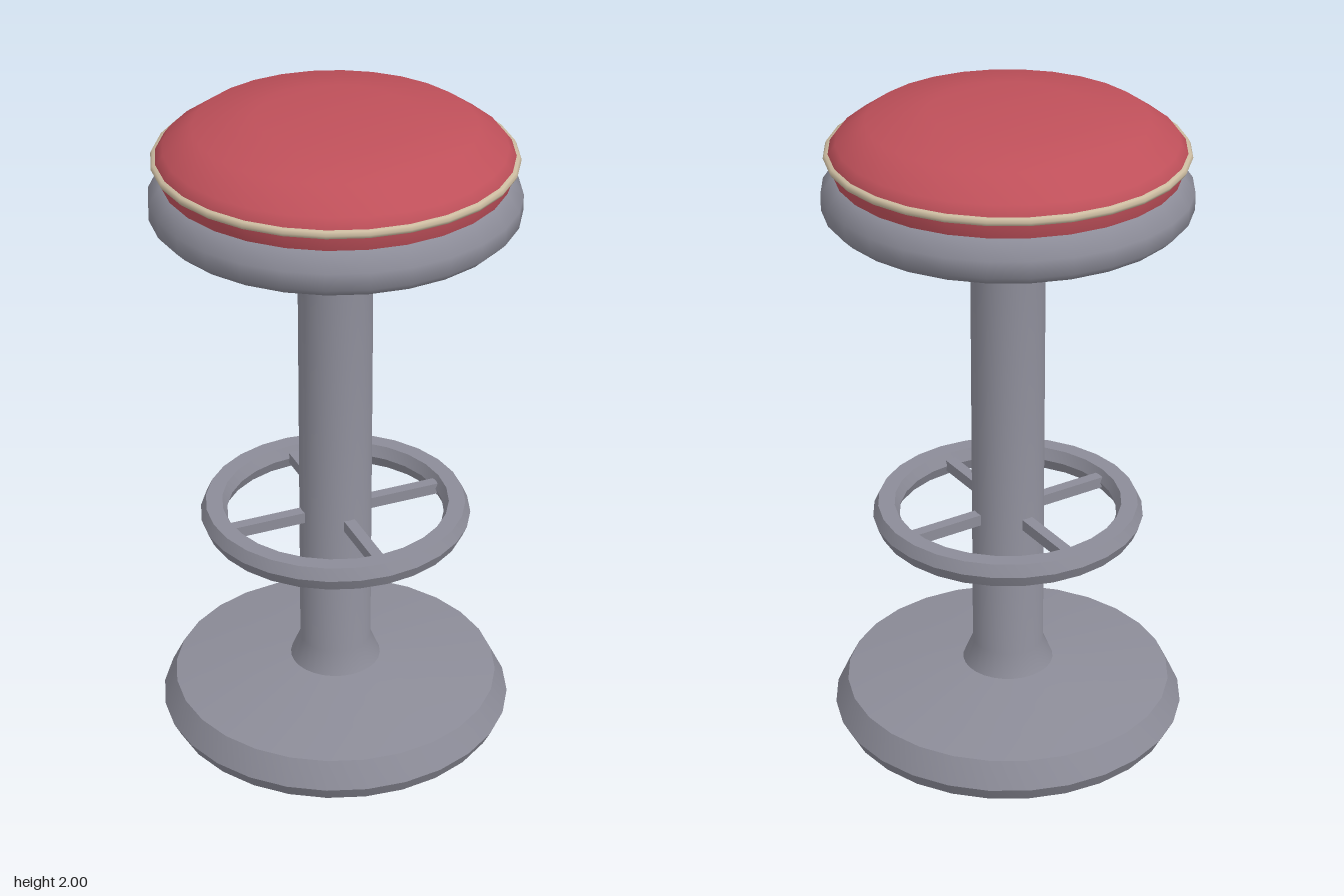
import * as THREE from 'three';
import { toCreasedNormals } from 'three/addons/utils/BufferGeometryUtils.js';

const SEGMENTS = 28;

const steel = new THREE.MeshStandardMaterial({ color: 0x8c8c98 });
steel.name = 'steel grey';
const red = new THREE.MeshStandardMaterial({ color: 0xbf505a });
red.name = 'cushion red';
const cream = new THREE.MeshStandardMaterial({ color: 0xcbbba0 });
cream.name = 'piping cream';

// Turned part from [radius, height] pairs, listed from the bottom up the outside.
function turned(name, material, profile, creaseDegrees) {
  const points = profile.map(([r, y]) => new THREE.Vector2(r, y));
  const lathe = new THREE.LatheGeometry(points, SEGMENTS);
  const mesh = new THREE.Mesh(toCreasedNormals(lathe, THREE.MathUtils.degToRad(creaseDegrees)), material);
  mesh.name = name;
  return mesh;
}

export function createModel() {
  const stool = new THREE.Group();
  stool.name = 'barStool';

  // Heavy foot with bevelled rim and shallow cone on top
  stool.add(turned('base', steel, [
    [0, 0], [0.52, 0], [0.543, 0.045], [0.503, 0.125], [0.14, 0.178], [0, 0.178],
  ], 35));

  // Column flaring into the foot
  stool.add(turned('column', steel, [
    [0.14, 0.178], [0.11, 0.25], [0.11, 1.67],
  ], 35));

  // Footrest ring with four spokes
  const footrest = new THREE.Group();
  footrest.name = 'footrest';
  footrest.add(turned('footrestRing', steel, [
    [0.345, 0.668], [0.395, 0.668], [0.411, 0.705], [0.395, 0.741],
    [0.345, 0.741], [0.33, 0.705], [0.345, 0.668],
  ], 35));
  for (let i = 0; i < 4; i++) {
    const spoke = new THREE.Mesh(new THREE.BoxGeometry(0.25, 0.035, 0.035), steel);
    spoke.name = 'footrestSpoke';
    const angle = i * Math.PI / 2;
    spoke.position.set(0.222 * Math.cos(angle), 0.705, -0.222 * Math.sin(angle));
    spoke.rotation.y = angle;
    footrest.add(spoke);
  }
  stool.add(footrest);

  // Seat pan with its flared collar
  stool.add(turned('seatPan', steel, [
    [0.11, 1.652], [0.2, 1.69], [0.51, 1.69], [0.535, 1.715],
    [0.535, 1.765], [0.498, 1.818], [0, 1.818],
  ], 65));

  // Domed cushion
  stool.add(turned('cushion', red, [
    [0.497, 1.812], [0.512, 1.86], [0.512, 1.882], [0.49, 1.91],
    [0.405, 1.968], [0.23, 1.994], [0, 2],
  ], 50));

  // Piping around the cushion
  stool.add(turned('piping', cream, [
    [0.508, 1.86], [0.52, 1.862], [0.525, 1.872], [0.52, 1.882], [0.508, 1.884],
  ], 75));

  return stool;
}
